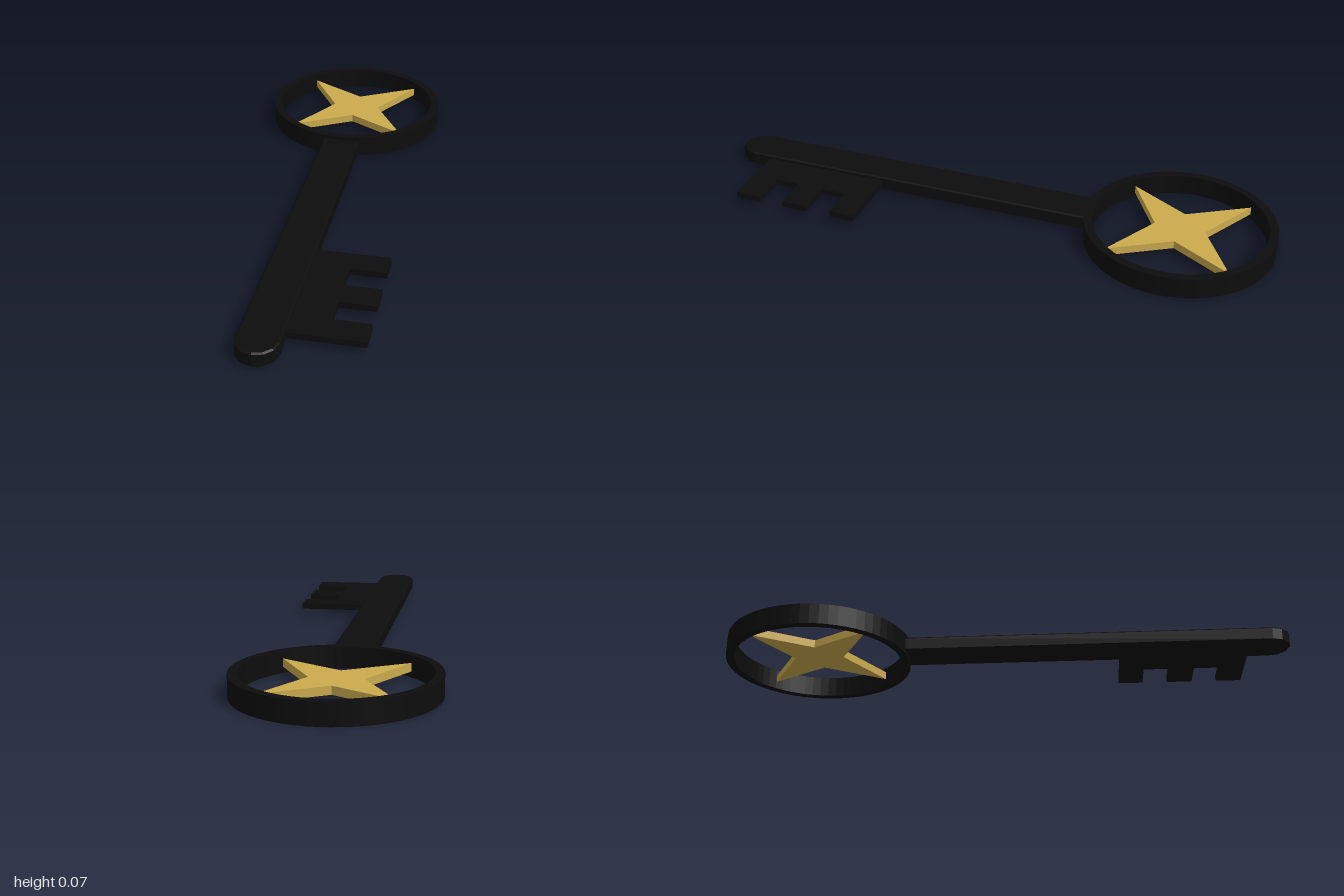
import * as THREE from 'three';

const MID_Y = 0.0365;   // every part is centred on this height
const BOW_Z = -0.672;   // centre of the ring and star

// Lays a shape drawn in (x, z) flat and gives it thickness around MID_Y
function flatPart(name, shape, thickness, material, bevel = 0, curveSegments = 32) {
  const depth = thickness - 2 * bevel;
  const geometry = new THREE.ExtrudeGeometry(shape, {
    depth, curveSegments,
    bevelEnabled: bevel > 0, bevelSize: bevel, bevelThickness: bevel,
    bevelOffset: -bevel, bevelSegments: 1,
  });
  geometry.rotateX(Math.PI / 2);
  geometry.translate(0, MID_Y + depth / 2, 0);
  const mesh = new THREE.Mesh(geometry, material);
  mesh.name = name;
  return mesh;
}

export function createModel() {
  const black = new THREE.MeshStandardMaterial({ color: 0x0d0d0d });
  const gold = new THREE.MeshStandardMaterial({ color: 0xcbab4e });
  const key = new THREE.Group();
  key.name = 'key';

  // Ring-shaped bow
  const ring = new THREE.Shape().absarc(0, BOW_Z, 0.328, 0, Math.PI * 2);
  ring.holes.push(new THREE.Path().absarc(0, BOW_Z, 0.299, 0, Math.PI * 2, true));
  key.add(flatPart('bowRing', ring, 0.073, black));

  // Four-pointed star inside the ring
  const points = [];
  for (let i = 0; i < 8; i++) {
    const radius = i % 2 ? 0.293 : 0.087;
    const angle = (i * Math.PI) / 4;
    points.push(new THREE.Vector2(radius * Math.cos(angle), BOW_Z + radius * Math.sin(angle)));
  }
  key.add(flatPart('star', new THREE.Shape(points), 0.028, gold));

  // Shaft with a rounded tip
  const half = 0.068;
  const shaft = new THREE.Shape();
  shaft.moveTo(-half, -0.356);
  shaft.lineTo(half, -0.356);
  shaft.lineTo(half, 1 - half);
  shaft.absarc(0, 1 - half, half, 0, Math.PI);
  key.add(flatPart('shaft', shaft, 0.05, black, 0.005, 3));

  // Bit: a plate with three teeth
  const bit = new THREE.Shape();
  bit.moveTo(0.05, 0.406);
  [[0.406, 0.496], [0.587, 0.68], [0.77, 0.862]].forEach(([start, end], i) => {
    if (i > 0) bit.lineTo(0.19, start);
    bit.lineTo(0.312, start);
    bit.lineTo(0.312, end);
    if (i < 2) bit.lineTo(0.19, end);
  });
  bit.lineTo(0.05, 0.862);
  key.add(flatPart('toothedBit', bit, 0.021, black));

  return key;
}
